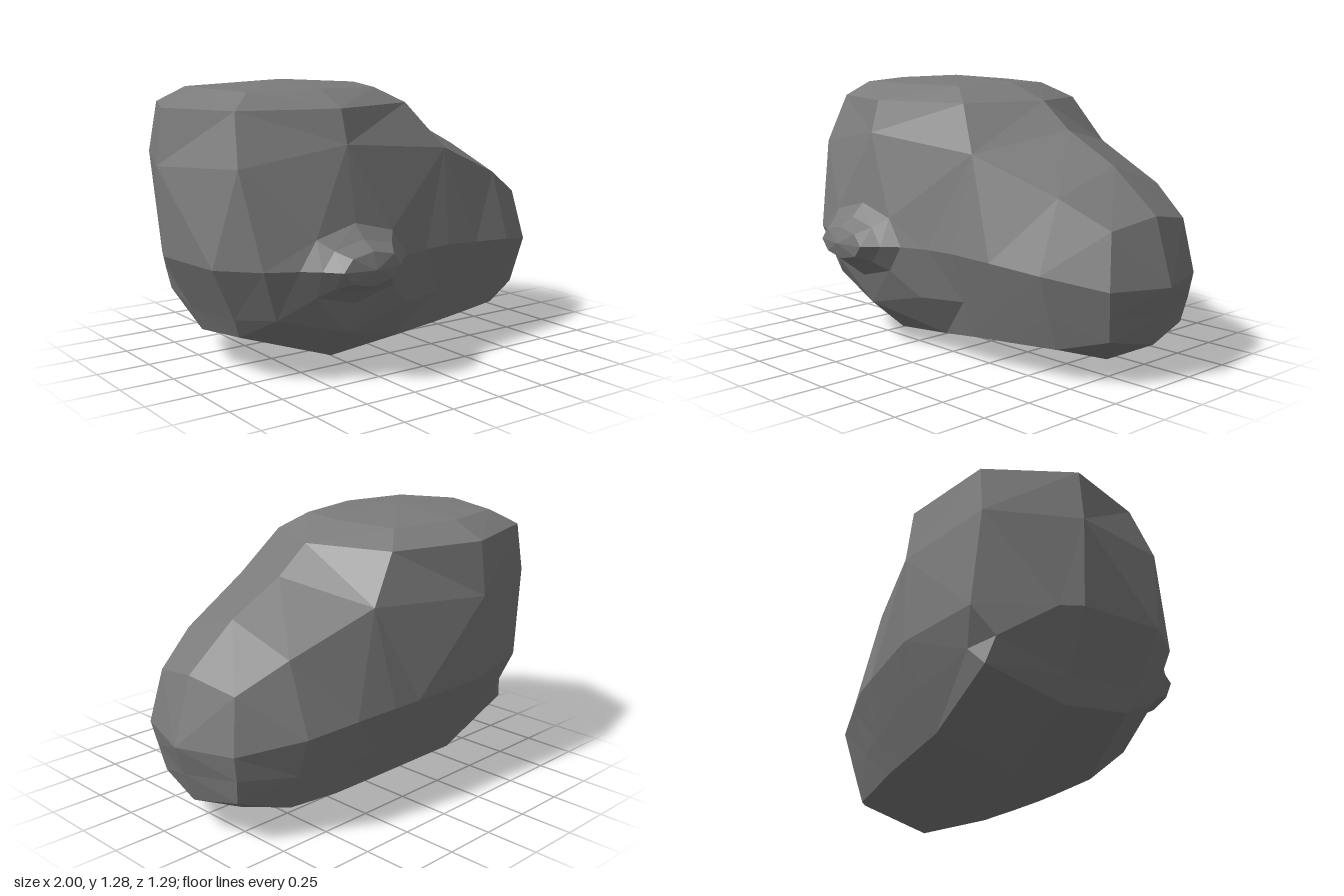
import * as THREE from 'three';

const MID_Z = -0.105;

// Skin a list of closed rings, splitting each quad along its shorter diagonal
function loft(name, rings) {
  const pos = [];
  const tri = (...pts) => {
    const [a, b, c] = pts;
    const area = b.clone().sub(a).cross(c.clone().sub(a)).length();
    if (area > 1e-5) pts.forEach((p) => pos.push(p.x, p.y, p.z));
  };
  for (let i = 0; i < rings.length - 1; i++) {
    const n = rings[i].length;
    for (let j = 0; j < n; j++) {
      const k = (j + 1) % n;
      const a = rings[i][j], b = rings[i + 1][j], c = rings[i + 1][k], d = rings[i][k];
      if (a.distanceTo(c) <= b.distanceTo(d)) { tri(a, b, c); tri(a, c, d); }
      else { tri(a, b, d); tri(b, c, d); }
    }
  }
  const geo = new THREE.BufferGeometry();
  geo.setAttribute('position', new THREE.Float32BufferAttribute(pos, 3));
  geo.computeVertexNormals();
  const mesh = new THREE.Mesh(geo, new THREE.MeshStandardMaterial({ color: 0x7b7b7b, flatShading: true }));
  mesh.name = name;
  return mesh;
}

// Half a section, bottom to top, as [x, y, z, backZ?, backY?]; the back half mirrors the front
function section(half) {
  const front = half.map(([x, y, z = MID_Z]) => new THREE.Vector3(x, y, z));
  const back = half.slice(1, -1).reverse().map(([x, y, z = MID_Z, bz = 2 * MID_Z - z, by = y]) =>
    new THREE.Vector3(x, by, bz));
  return [...front, ...back];
}

// Eight-sided oval ring facing +z, for the front bump
function oval(z, rx, ry) {
  return Array.from({ length: 8 }, (_, i) => {
    const a = -i * Math.PI / 4;
    return new THREE.Vector3(-0.37 + rx * Math.cos(a), 0.527 + ry * Math.sin(a), z);
  });
}

export function createModel() {
  const group = new THREE.Group();
  group.name = 'model';

  // Levels: bottom, low, lower side, middle, upper side, shoulder, dome, top
  const leftEnd = [[-0.8, 0.17], [-0.8, 0.17], [-0.85, 0.28], [-0.98, 0.53], [-1, 0.93], [-0.97, 1.18], [-0.79, 1.26], [-0.79, 1.26]];
  const leftCorner = [[-0.8, 0.17], [-0.78, 0.2, 0.2, -0.45, 0.29], [-0.82, 0.29, 0.23, -0.42, 0.4], [-0.94, 0.53, 0.27, -0.2],
    [-0.85, 0.95, 0.34, -0.5], [-0.81, 1.18, 0.25, -0.49], [-0.71, 1.25, 0.18], [-0.79, 1.26]];
  const leftSide = [[-0.8, 0.17], [-0.78, 0.2, 0.2, -0.45, 0.29], [-0.7, 0.3, 0.38, -0.49, 0.38], [-0.79, 0.53, 0.43, -0.52],
    [-0.85, 0.95, 0.34, -0.5], [-0.81, 1.18, 0.25, -0.49], [-0.71, 1.25, 0.18], [-0.79, 1.26]];
  const middle = [[-0.35, 0.015], [-0.35, 0.06, 0.27, -0.47, 0.145], [-0.37, 0.21, 0.44, -0.55, 0.33],
    [-0.37, 0.53, 0.42, -0.635], [-0.37, 1.03, 0.43, -0.645, 0.93], [-0.37, 1.18, 0.385, -0.615], [-0.37, 1.255, 0.23, -0.46], [-0.37, 1.285]];
  const rightSide = [[0, 0.008], [0, 0.1, 0.29, -0.47, 0.145], [-0.03, 0.29, 0.42, -0.55, 0.33], [0.05, 0.53, 0.45, -0.63],
    [0.24, 0.97, 0.345, -0.53], [0.08, 1.18, 0.25, -0.48], [-0.04, 1.25, 0.17], [0.04, 1.26]];
  const neck = [[0.2, 0.003], [0.2, 0.13, 0.31, -0.47, 0.145], [0.2, 0.3, 0.362, -0.535], [0.2, 0.53, 0.43, -0.625],
    [0.24, 0.97, 0.345, -0.53], [0.24, 1.185], [0.24, 1.185], [0.24, 1.185]];
  const dip = [[0.4, 0.016], [0.4, 0.14, 0.28, -0.46], [0.4, 0.3, 0.33, -0.52], [0.4, 0.515, 0.395, -0.595],
    [0.24, 0.97, 0.345, -0.53], [0.4, 1.06], [0.4, 1.06], [0.4, 1.06]];
  const snout = [[0.65, 0.035], [0.65, 0.15, 0.23], [0.65, 0.31, 0.283], [0.65, 0.49, 0.34, -0.55],
    [0.65, 0.81, 0.23], [0.67, 0.92], [0.67, 0.92], [0.67, 0.92]];
  const snoutRim = [[0.91, 0.16], [0.87, 0.21, 0.14], [0.89, 0.325, 0.165], [0.91, 0.44, 0.19, -0.385],
    [0.87, 0.685, 0.14], [0.91, 0.727], [0.91, 0.727], [0.91, 0.727]];
  const snoutEnd = [[0.91, 0.16], [0.91, 0.16], [0.955, 0.295], [1, 0.43], [0.91, 0.727], [0.91, 0.727], [0.91, 0.727], [0.91, 0.727]];

  group.add(loft('body', [leftEnd, leftCorner, leftSide, middle, rightSide, neck, dip,
    snout, snoutRim, snoutEnd].map(section)));

  // Blunt bump on the front, its base spreading out to the surrounding body corners
  const skirt = [rightSide[3], rightSide[2], middle[2], leftSide[2], leftSide[3], leftSide[4], middle[4], rightSide[4]]
    .map(([x, y, z]) => new THREE.Vector3(x, y, z));
  group.add(loft('frontBump', [skirt, oval(0.488, 0.28, 0.175), oval(0.55, 0.21, 0.115),
    oval(0.62, 0.15, 0.075), oval(0.645, 0, 0)]));

  return group;
}
